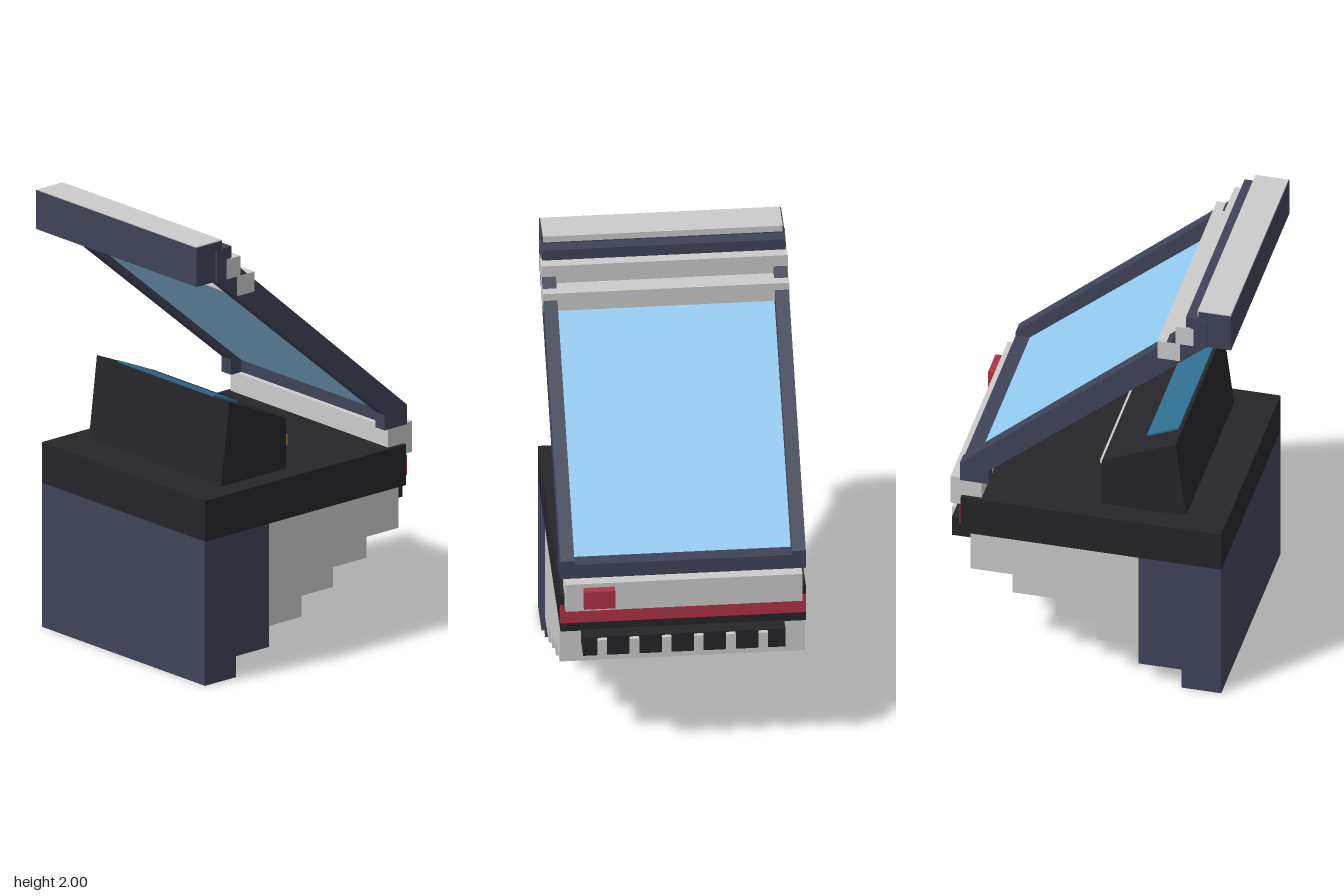
import * as THREE from 'three';

// Working frame: x = depth towards the stepped rear, z = width. The whole is turned 45 degrees.
const mat = (color) => new THREE.MeshStandardMaterial({ color, flatShading: true });

export function createModel() {
  const model = new THREE.Group();
  model.name = 'cabinet';
  model.rotation.y = Math.PI / 4;

  const grey = mat(0xcccccc), navy = mat(0x3f4357), black = mat(0x26262a);
  const red = mat(0xb03349), orange = mat(0xc8862a), teal = mat(0x2f6f90);
  const blue = mat(0x92cbf0);

  const add = (name, geometry, material) => {
    const mesh = new THREE.Mesh(geometry, material);
    mesh.name = name;
    model.add(mesh);
    return mesh;
  };
  // Box given by its limits on each axis
  const box = (name, material, x0, x1, y0, y1, z0, z1) => {
    const g = new THREE.BoxGeometry(x1 - x0, y1 - y0, z1 - z0);
    g.translate((x0 + x1) / 2, (y0 + y1) / 2, (z0 + z1) / 2);
    return add(name, g, material);
  };
  // Side profile extruded across the width
  const prism = (name, material, points, z0, z1) => {
    const shape = new THREE.Shape(points.map(([x, y]) => new THREE.Vector2(x, y)));
    const g = new THREE.ExtrudeGeometry(shape, { depth: z1 - z0, bevelEnabled: false });
    g.translate(0, 0, z0);
    return add(name, g, material);
  };
  const W = 0.53;

  // Stepped base: navy front, grey overhanging steps behind
  prism('frontBase', navy, [[-0.573, 0], [-0.396, 0], [-0.396, 0.095], [-0.205, 0.095],
    [-0.205, 0.655], [-0.573, 0.655]], -W, W);
  const steps = [[-0.205, 0.19], [-0.02, 0.285], [0.163, 0.375], [0.354, 0.47], [0.54, 0.655]];
  const profile = [[-0.205, 0.655]];
  for (let i = 0; i < 4; i++) {
    profile.push([steps[i][0], steps[i][1]], [steps[i + 1][0], steps[i][1]]);
  }
  profile.push([0.54, 0.655]);
  prism('steppedBase', grey, profile, -W, W);

  // Deck with rear trim
  box('deck', black, -0.573, 0.583, 0.655, 0.84, -W, W);
  box('redStripe', red, 0.57, 0.588, 0.70, 0.79, -W, W);
  box('rearBar', grey, 0.494, 0.633, 0.79, 0.93, -0.512, 0.512);
  box('rearLamp', red, 0.62, 0.668, 0.82, 0.91, 0.30, 0.435);
  box('ventBlock', black, 0.53, 0.645, 0.565, 0.66, -0.437, 0.437);
  for (let i = 0; i < 6; i++) {
    const z = -0.34 + i * 0.139;
    box('ventSlat', grey, 0.64, 0.664, 0.565, 0.655, z - 0.02, z + 0.02);
  }

  // Console with sloped screen, shelf and knob block
  prism('console', black, [[-0.392, 0.84], [-0.02, 0.84], [-0.02, 1.07], [-0.346, 1.21]], -0.43, 0.43);
  const slope = (x) => 1.21 - 0.43 * (x + 0.346);
  prism('screen', teal, [[-0.33, slope(-0.33) - 0.02], [-0.19, slope(-0.19) - 0.02],
    [-0.19, slope(-0.19) + 0.01], [-0.33, slope(-0.33) + 0.01]], -0.31, 0.31);
  box('orangeBlock', orange, -0.03, 0.02, 0.93, 0.975, 0.28, 0.395);
  box('consoleShelf', grey, -0.03, 0.03, 0.935, 0.95, -0.27, 0.28);

  // Raised lid: two slanted side rails, hinge bar and pane
  for (const z of [-W, W - 0.06]) {
    prism('lidRail', navy, [[0.459, 0.93], [0.587, 0.93], [0.587, 1.02], [-0.445, 1.92],
      [-0.505, 1.96], [-0.505, 1.82], [0.459, 1.0]], z, z + 0.06);
  }
  box('hingeBar', navy, 0.52, 0.587, 0.93, 1.0, -0.47, 0.47);
  prism('pane', blue, [[0.53, 0.975], [0.53, 0.995], [-0.5, 1.87], [-0.5, 1.85]], -0.475, 0.475);

  // Stepped top edge of the lid
  box('lidFrontBar', navy, -0.615, -0.47, 1.82, 1.996, -0.523, 0.523);
  box('lidCap', grey, -0.612, -0.465, 1.97, 2.0, -0.518, 0.518);
  box('lidInnerBar', navy, -0.475, -0.415, 1.83, 1.962, -0.525, 0.525);
  box('lidUpperStep', grey, -0.45, -0.37, 1.82, 1.91, -0.532, 0.532);
  box('lidLowerStep', grey, -0.39, -0.29, 1.73, 1.82, -0.532, 0.532);

  const root = new THREE.Group();
  root.add(model);
  return root;
}
